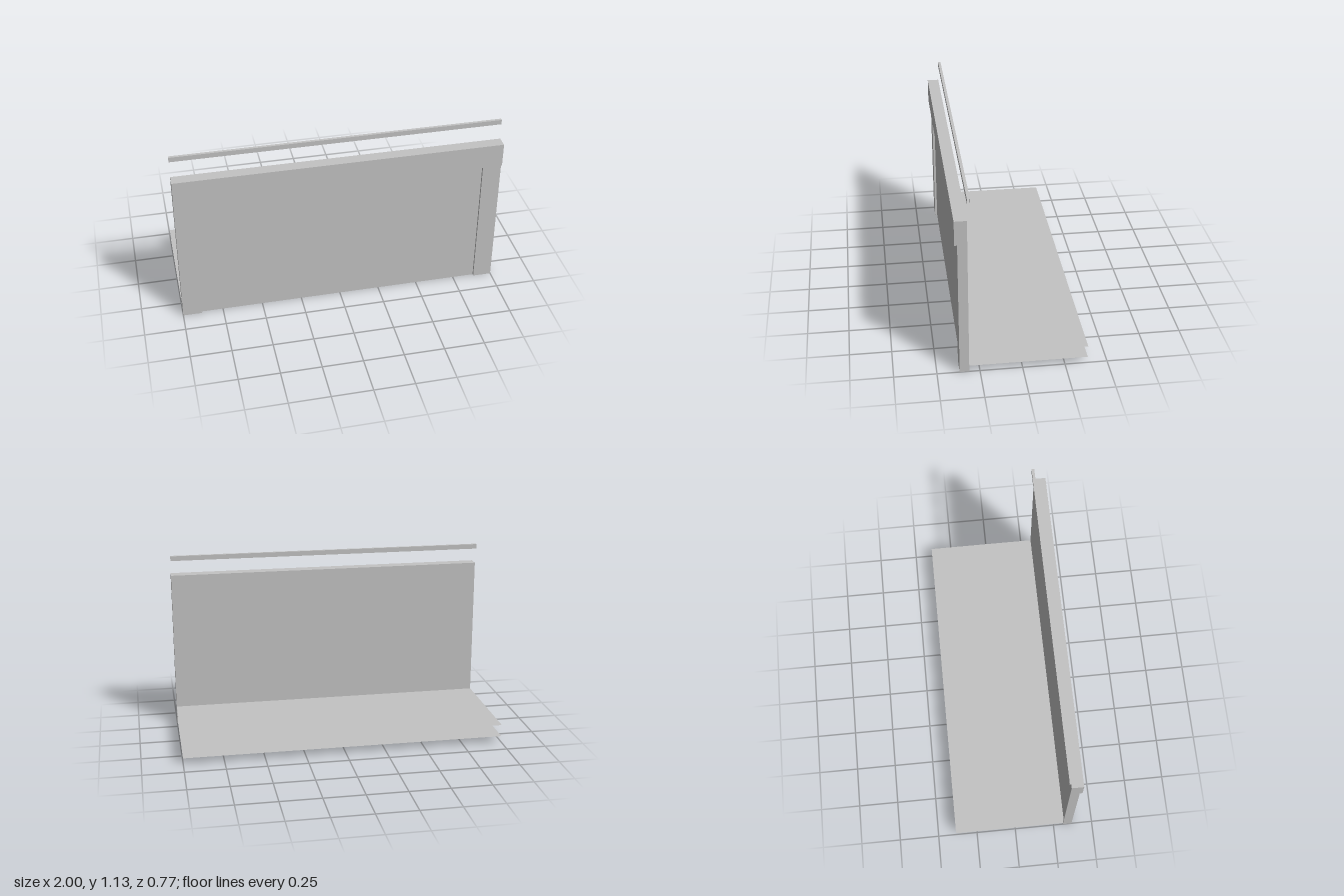
import * as THREE from 'three';

export function createModel() {
  const model = new THREE.Group();
  model.name = 'counterFront';
  const grey = new THREE.MeshStandardMaterial({ color: 0xc3c3c3, side: THREE.DoubleSide });
  grey.name = 'light grey';

  const BACK = 0.312; // shared rear face of the wall
  const EDGE = 0.384; // half of the overall depth

  function add(name, geometry) {
    const mesh = new THREE.Mesh(geometry, grey);
    mesh.name = name;
    model.add(mesh);
    return mesh;
  }

  // Box given by its limits on each axis
  function block(name, x0, x1, y0, y1, z0, z1) {
    const mesh = add(name, new THREE.BoxGeometry(x1 - x0, y1 - y0, z1 - z0));
    mesh.position.set((x0 + x1) / 2, (y0 + y1) / 2, (z0 + z1) / 2);
    return mesh;
  }

  // Upright wall: recessed panel, side posts and overhanging header
  block('frontPanel', -0.885, 0.885, 0, 0.85, BACK, 0.354);
  block('rightPost', -1, -0.885, 0, 0.85, BACK, 0.368);
  block('leftPost', 0.885, 1, 0, 0.85, BACK, 0.368);
  block('header', -1, 1, 0.85, 1, BACK, EDGE);

  // Two thin shelves behind the wall
  const shelfDepth = BACK + EDGE;
  for (const [name, y] of [['lowerShelf', 0.04], ['upperShelf', 0.115]]) {
    const shelf = add(name, new THREE.PlaneGeometry(2, shelfDepth).rotateX(-Math.PI / 2));
    shelf.position.set(0, y, BACK - shelfDepth / 2);
  }

  // Floating top rail, a slim sleeve with open ends
  const rail = block('topRail', -1, 1, 1.1, 1.13, 0.293, 0.31);
  const index = Array.from(rail.geometry.index.array);
  rail.geometry.setIndex(index.slice(12)); // drop both end faces
  rail.geometry.clearGroups();

  return model;
}
